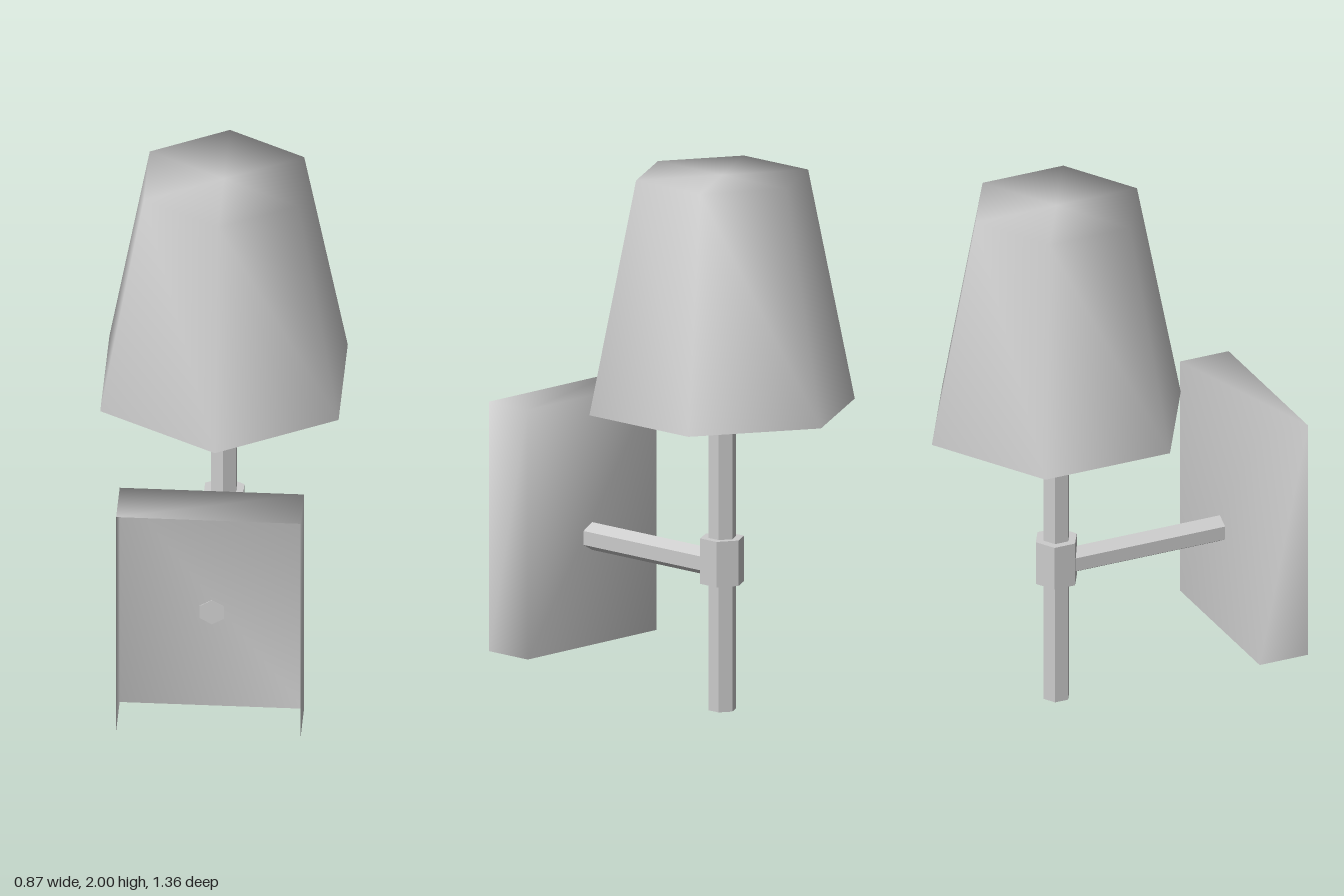
import * as THREE from 'three';
import { mergeVertices } from 'three/addons/utils/BufferGeometryUtils.js';

const AXIS_Z = -0.177; // stem and shade share this vertical axis

// Weld corners so the shading runs softly across them
function soften(geometry) {
  geometry.deleteAttribute('uv');
  geometry.deleteAttribute('normal');
  const welded = mergeVertices(geometry, 1e-4);
  welded.computeVertexNormals();
  return welded;
}

export function createModel() {
  const model = new THREE.Group();
  model.name = 'wallLamp';
  const facetedMaterial = new THREE.MeshStandardMaterial({ color: 0xcccccc, flatShading: true });
  const thinMaterial = new THREE.MeshStandardMaterial({ color: 0xcccccc, side: THREE.DoubleSide });

  function add(name, geometry, material) {
    const mesh = new THREE.Mesh(geometry, material);
    mesh.name = name;
    model.add(mesh);
    return mesh;
  }

  // Six-sided upright bar between two heights
  function hexBar(name, radius, y0, y1) {
    const mesh = add(name, new THREE.CylinderGeometry(radius, radius, y1 - y0, 6), facetedMaterial);
    mesh.position.set(0, (y0 + y1) / 2, AXIS_Z);
  }
  hexBar('stem', 0.052, 0, 1.163);
  hexBar('joint', 0.083, 0.475, 0.645);

  // Arm from the joint to the wall plate
  const armStart = -0.15, armEnd = 0.487;
  const arm = add('arm', new THREE.CylinderGeometry(0.052, 0.052, armEnd - armStart, 6), facetedMaterial);
  arm.rotation.x = Math.PI / 2;
  arm.position.set(0, 0.543, (armStart + armEnd) / 2);

  // Hexagonal shade: closed top, open bottom
  const profile = [[0.503, 1.132], [0.326, 2], [0, 2]].map(([r, y]) => new THREE.Vector2(r, y));
  const shade = add('shade', soften(new THREE.LatheGeometry(profile, 6)), thinMaterial);
  shade.position.z = AXIS_Z;

  // Wall plate: thin shell with both sides, top and inner panel; bottom and wall side open
  const box = new THREE.BoxGeometry(0.674, 0.934, 0.196);
  const index = Array.from(box.index.array);
  const keptFaces = [0, 1, 2, 5]; // +x, -x, +y, -z
  box.setIndex(keptFaces.flatMap((f) => index.slice(f * 6, f * 6 + 6)));
  box.clearGroups();
  const plate = add('wallPlate', soften(box), thinMaterial);
  plate.position.set(0, 0.603, 0.582);

  return model;
}
